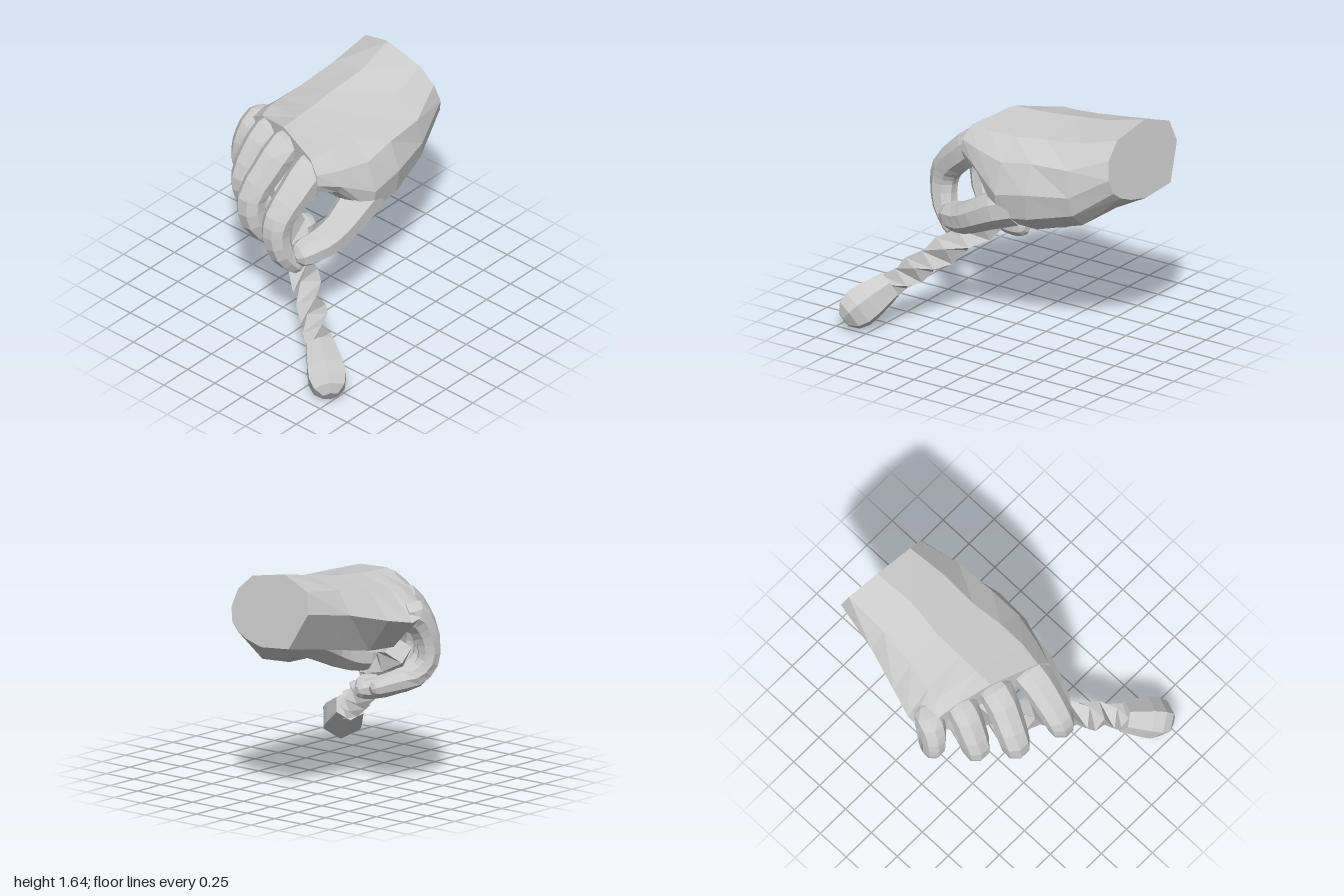
import * as THREE from 'three';

const material = new THREE.MeshStandardMaterial({ color: 0xcccccc, flatShading: true });

// Skin a closed solid over a list of rings (each an array of Vector3), with fan caps.
function loft(name, rings) {
  const n = rings[0].length, pos = [], index = [];
  const add = (p) => pos.push(p.x, p.y, p.z) / 3 - 1;
  rings.forEach((ring) => ring.forEach(add));
  for (let i = 0; i < rings.length - 1; i++) {
    for (let j = 0; j < n; j++) {
      const a = i * n + j, b = i * n + (j + 1) % n;
      index.push(a, b, b + n, a, b + n, a + n);
    }
  }
  const centre = (ring) => ring.reduce((s, p) => s.add(p), new THREE.Vector3()).divideScalar(n);
  const first = add(centre(rings[0])), last = add(centre(rings.at(-1)));
  const base = (rings.length - 1) * n;
  for (let j = 0; j < n; j++) {
    const k = (j + 1) % n;
    index.push(first, k, j, last, base + j, base + k);
  }
  const geometry = new THREE.BufferGeometry();
  geometry.setAttribute('position', new THREE.Float32BufferAttribute(pos, 3));
  geometry.setIndex(index);
  geometry.computeVertexNormals();
  const mesh = new THREE.Mesh(geometry, material);
  mesh.name = name;
  return mesh;
}

// Tapered limb through [x, y, z, radius] points, with a rounded tip.
function limb(name, pts, { sides = 8, steps = 2, twist = 0 } = {}) {
  const curve = new THREE.CatmullRomCurve3(pts.map(([x, y, z]) => new THREE.Vector3(x, y, z)));
  const n = (pts.length - 1) * steps, rings = [];
  const addRing = (i, shift = 0, scale = 1) => {
    const k = Math.min(Math.floor(i / steps), pts.length - 2);
    const r = THREE.MathUtils.lerp(pts[k][3], pts[k + 1][3], i / steps - k);
    const t = curve.getTangent(i / n);
    const c = curve.getPoint(i / n).addScaledVector(t, r * shift);
    const s = new THREE.Vector3(0, 0, 1).cross(t).normalize();
    const u = t.clone().cross(s);
    rings.push(Array.from({ length: sides }, (_, j) => {
      const a = (j + 0.5) / sides * Math.PI * 2 + i * twist;
      return c.clone().addScaledVector(s, r * scale * Math.cos(a)).addScaledVector(u, r * scale * Math.sin(a));
    }));
  };
  for (let i = 0; i <= n; i++) addRing(i);
  addRing(n, 0.5, 0.83);
  addRing(n, 0.85, 0.4);
  return loft(name, rings);
}

// Palm with the ball of the thumb and the heel, as outlines from wrist to knuckles.
// Each outline runs from the hollow of the palm over the thumb side and the back: [z, y].
function palm() {
  const sections = [
    { x: 0.94, leanY: -0.22, leanZ: -0.1, outline: [[-0.15, 1.11], [0, 1.14], [0.1, 1.18], [0.16, 1.23], [0.19, 1.33],
      [0.15, 1.46], [0.03, 1.57], [-0.28, 1.63], [-0.52, 1.55], [-0.56, 1.4], [-0.42, 1.14]] },
    { x: 0.6, leanY: -0.1, leanZ: 0, outline: [[-0.15, 1.05], [0.0, 0.95], [0.13, 0.92], [0.24, 1.02], [0.27, 1.16],
      [0.24, 1.35], [0.07, 1.5], [-0.25, 1.565], [-0.52, 1.5], [-0.63, 1.34], [-0.5, 1.08]] },
    { x: 0.3, leanY: 0, leanZ: 0, outline: [[-0.12, 1.03], [0.04, 0.88], [0.18, 0.825], [0.31, 0.94], [0.34, 1.13],
      [0.26, 1.34], [0.07, 1.46], [-0.28, 1.52], [-0.55, 1.45], [-0.72, 1.26], [-0.55, 1.02]] },
    { x: 0.08, leanY: 0, leanZ: -0.05, outline: [[-0.1, 1.07], [0.04, 0.9], [0.17, 0.82], [0.31, 0.9], [0.34, 1.08],
      [0.27, 1.3], [0.1, 1.44], [-0.28, 1.495], [-0.58, 1.42], [-0.78, 1.22], [-0.6, 1.02]] },
    { x: -0.08, leanY: 0, leanZ: -0.22, outline: [[-0.12, 1.13], [0.0, 1.1], [0.1, 1.09], [0.19, 1.13], [0.24, 1.2],
      [0.21, 1.32], [0.1, 1.43], [-0.28, 1.485], [-0.58, 1.42], [-0.79, 1.24], [-0.6, 1.08]] },
    { x: -0.22, leanY: 0, leanZ: -0.33, outline: [[-0.12, 1.19], [0.0, 1.17], [0.08, 1.17], [0.14, 1.2], [0.16, 1.26],
      [0.15, 1.34], [0.07, 1.43], [-0.28, 1.48], [-0.56, 1.4], [-0.74, 1.27], [-0.55, 1.17]] },
  ];
  return loft('palm', sections.map(({ x, leanY, leanZ, outline }) => outline.map(([z, y]) =>
    new THREE.Vector3(x + leanY * (y - 1.37) + leanZ * (z + 0.25), y, z))));
}

export function createModel() {
  const model = new THREE.Group();

  // Hand
  const hand = new THREE.Group();
  hand.name = 'hand';
  hand.add(
    palm(),
    limb('thumb', [
      [0.14, 0.97, 0.19, 0.14], [0.0, 0.925, 0.2, 0.145], [-0.18, 0.835, 0.205, 0.125],
      [-0.33, 0.765, 0.17, 0.115], [-0.45, 0.74, 0.13, 0.105],
    ]),
    limb('indexFinger', [
      [-0.18, 1.29, 0.03, 0.12], [-0.28, 1.29, 0.03, 0.135], [-0.43, 1.18, 0.02, 0.125],
      [-0.58, 1.03, 0.0, 0.11], [-0.61, 0.92, 0.0, 0.1], [-0.58, 0.76, 0.03, 0.09],
      [-0.49, 0.64, 0.07, 0.075],
    ]),
    limb('middleFinger', [
      [-0.12, 1.33, -0.23, 0.11], [-0.23, 1.34, -0.25, 0.125], [-0.37, 1.19, -0.29, 0.115],
      [-0.49, 1.01, -0.33, 0.105], [-0.48, 0.83, -0.31, 0.1], [-0.36, 0.69, -0.25, 0.09],
      [-0.2, 0.645, -0.2, 0.085], [-0.09, 0.645, -0.18, 0.08],
    ]),
    limb('ringFinger', [
      [-0.04, 1.31, -0.47, 0.1], [-0.14, 1.3, -0.49, 0.115], [-0.24, 1.17, -0.52, 0.11],
      [-0.32, 1.01, -0.54, 0.1], [-0.31, 0.86, -0.53, 0.09], [-0.2, 0.74, -0.48, 0.085],
      [0.0, 0.69, -0.41, 0.08], [0.15, 0.69, -0.37, 0.07],
    ]),
    limb('littleFinger', [
      [0.06, 1.25, -0.66, 0.09], [-0.01, 1.25, -0.69, 0.105], [-0.08, 1.15, -0.72, 0.095],
      [-0.11, 1.03, -0.74, 0.085], [-0.1, 0.9, -0.74, 0.08], [-0.02, 0.8, -0.69, 0.08],
      [0.12, 0.76, -0.6, 0.075], [0.21, 0.74, -0.55, 0.065],
    ]),
  );

  // Twisted rod with a knob at the lower end
  const rod = new THREE.Group();
  rod.name = 'rod';
  rod.add(
    limb('twistedShaft', [
      [-0.01, 0.97, -0.55, 0.1], [-0.33, 0.62, -0.04, 0.11], [-0.56, 0.42, 0.28, 0.11], [-0.73, 0.265, 0.51, 0.1],
    ], { sides: 4, steps: 3, twist: Math.PI / 4 }),
    limb('knob', [
      [-0.72, 0.28, 0.5, 0.11], [-0.81, 0.185, 0.63, 0.145], [-0.855, 0.135, 0.69, 0.15],
    ], { sides: 6, steps: 1 }),
  );

  model.add(hand, rod);
  return model;
}
